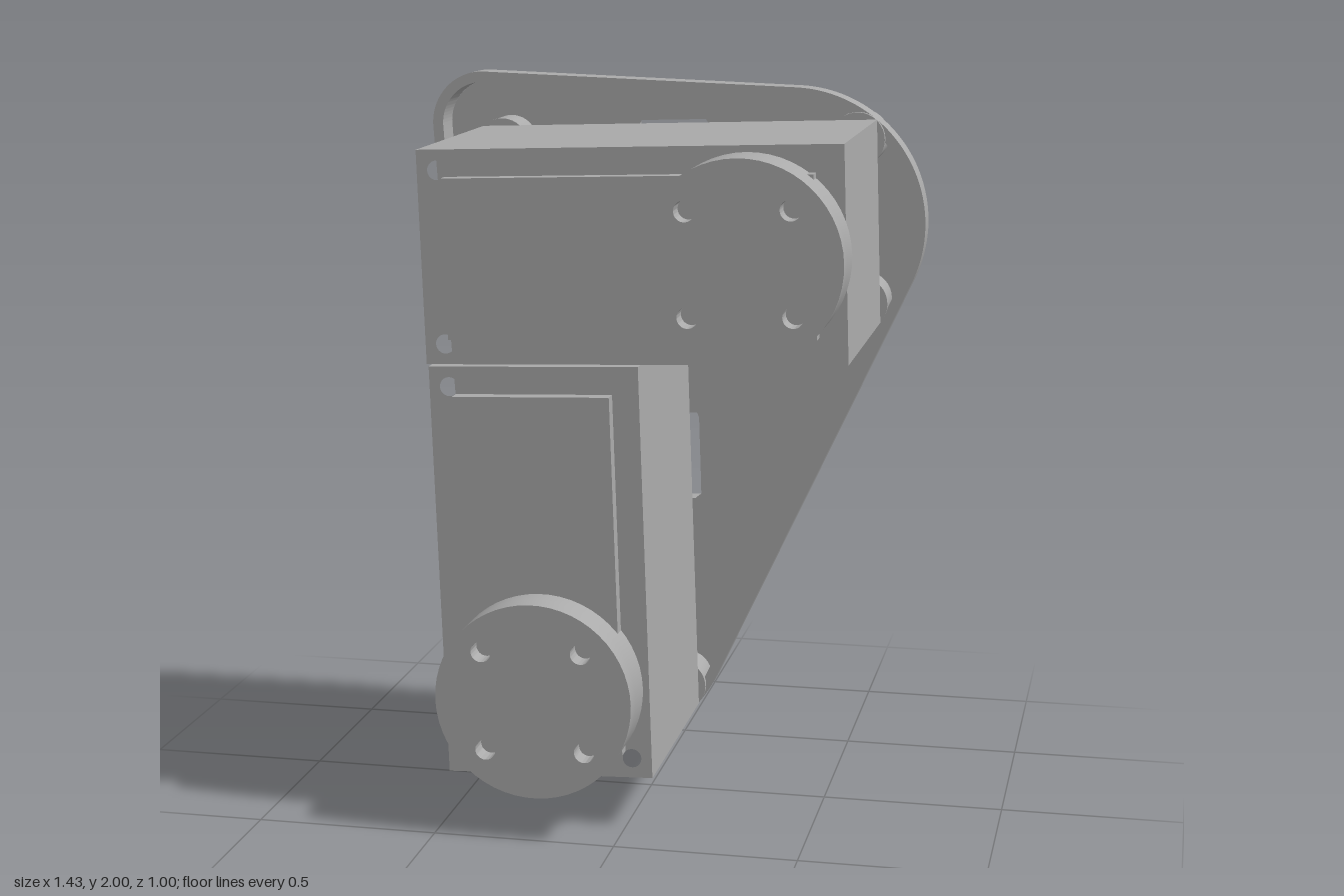
import * as THREE from 'three';
import { toCreasedNormals } from 'three/addons/utils/BufferGeometryUtils.js';

const grey = new THREE.MeshStandardMaterial({ color: 0xaaaaaa });
grey.name = 'grey';

const TILT = THREE.MathUtils.degToRad(2);
const BACK = -0.5, FRONT = -0.345, FLOOR = -0.44, FILLET = 0.075;
const SCREW = 0.026, BORE = 0.052;

// Two gearboxes, each long along its local x with the horn near the +x end
const SERVOS = [
  { x: 0.015, y: 1.578, a: TILT },
  { x: -0.2325, y: 0.705, a: TILT - Math.PI / 2 },
];
const WINDOWS = [
  { x: -0.02, y: 1.582, w: 0.105, h: 0.282 },
  { x: -0.235, y: 0.865, w: 0.29, h: 0.13 },
];
const corners = (w, h) => [[-w, -h], [-w, h], [w, h], [w, -h]];
const place = (s, [u, v], a = s.a) => [
  s.x + u * Math.cos(a) - v * Math.sin(a), s.y + u * Math.sin(a) + v * Math.cos(a)];
const SCREWS = SERVOS.flatMap((s) => corners(0.515, 0.2325).map((c) => place(s, c)));
const RECESSES = SERVOS.map((s) => place(s, [0.315, 0]));

function add(parent, name, geometry, crease = 0.5) {
  const mesh = new THREE.Mesh(toCreasedNormals(geometry, crease), grey);
  mesh.name = name;
  parent.add(mesh);
  return mesh;
}

// Outline of the back plate: a belt round three circles, as points with normals
function beltOutline() {
  const circles = [[0.33, 1.585, 0.385], [-0.57, 1.85, 0.15], [-0.23, 0.39, 0.39]];
  const tangent = (i) => {
    const [ax, ay, ar] = circles[i % 3], [bx, by, br] = circles[(i + 1) % 3];
    return Math.atan2(by - ay, bx - ax) - Math.acos((ar - br) / Math.hypot(bx - ax, by - ay));
  };
  const at = ([x, y, r], t) => ({ x: x + r * Math.cos(t), y: y + r * Math.sin(t), nx: Math.cos(t), ny: Math.sin(t) });
  const points = [];
  for (let i = 0; i < 3; i++) {
    const from = tangent(i + 2), to = tangent(i);
    const sweep = (to - from + 4 * Math.PI) % (2 * Math.PI);
    for (let k = 0; k <= 60; k++) points.push(at(circles[i], from + (sweep * k) / 60));
    const p = at(circles[i], to), q = at(circles[(i + 1) % 3], to);
    for (let k = 1; k < 80; k++) {
      points.push({ ...p, x: p.x + ((q.x - p.x) * k) / 80, y: p.y + ((q.y - p.y) * k) / 80 });
    }
  }
  return points;
}
const OUTLINE = beltOutline();
const insetAt = (x, y) => OUTLINE.reduce((m, p) => Math.min(m, (p.x - x) * p.nx + (p.y - y) * p.ny), 9);
const ring = (inset, z) => OUTLINE.map((p) => [p.x - p.nx * inset, p.y - p.ny * inset, z]);
const backZ = (x, y) => {
  const t = Math.max(0, FILLET - insetAt(x, y));
  return BACK + FILLET - Math.sqrt(Math.max(0, FILLET ** 2 - t * t));
};

// Triangles joining closed rings of points
function loft(rings) {
  const tris = [];
  for (let i = 0; i + 1 < rings.length; i++) {
    const n = rings[i].length;
    for (let j = 0; j < n; j++) {
      const k = (j + 1) % n, a = rings[i], b = rings[i + 1];
      tris.push([a[j], b[j], a[k]], [a[k], b[j], b[k]]);
    }
  }
  return tris;
}

// Keep only the part of each triangle where f(x, y) >= 0
function clip(tris, f) {
  const out = [];
  for (const t of tris) {
    const d = t.map((p) => f(p[0], p[1]));
    const poly = [];
    for (let i = 0; i < 3; i++) {
      const j = (i + 1) % 3;
      if (d[i] >= 0) poly.push(t[i]);
      if ((d[i] >= 0) !== (d[j] >= 0)) {
        const s = d[i] / (d[i] - d[j]);
        poly.push(t[i].map((v, k) => v + (t[j][k] - v) * s));
      }
    }
    for (let i = 1; i + 1 < poly.length; i++) out.push([poly[0], poly[i], poly[i + 1]]);
  }
  return out;
}
const outsideCircle = ([cx, cy], r) => (x, y) => Math.hypot(x - cx, y - cy) - r;
const outsideWindow = (w) => (x, y) => {
  const [u, v] = place({ x: 0, y: 0 }, [x - w.x, y - w.y], -TILT);
  return Math.max(Math.abs(u) - w.w, Math.abs(v) - w.h);
};

// Flat face of the plate with all of its openings
function face(inset, z, facingBack, recessed) {
  let tris = [];
  const s = 0.02;
  for (let x = -0.74; x < 0.74; x += s) {
    for (let y = -0.02; y < 2.02; y += s) {
      const a = [x, y, z], b = [x + s, y, z], c = [x + s, y + s, z], d = [x, y + s, z];
      tris.push(...(facingBack ? [[a, c, b], [a, d, c]] : [[a, b, c], [a, c, d]]));
    }
  }
  tris = clip(tris, (x, y) => insetAt(x, y) - inset);
  for (const w of WINDOWS) tris = clip(tris, outsideWindow(w));
  for (const c of SCREWS) tris = clip(tris, outsideCircle(c, BORE));
  if (recessed) for (const c of RECESSES) tris = clip(tris, outsideCircle(c, 0.137));
  return tris;
}

function toGeometry(tris) {
  const g = new THREE.BufferGeometry();
  g.setAttribute('position', new THREE.Float32BufferAttribute(tris.flat(2), 3));
  return g;
}

function backPlate() {
  const group = new THREE.Group();
  group.name = 'backPlate';
  // rim and rounded edge, cut by the screw bores
  const rings = [ring(0.03, FLOOR), ring(0.03, FRONT), ring(0, FRONT)];
  for (let i = 0; i <= 10; i++) {
    const t = (i / 10) * Math.PI / 2;
    rings.push(ring(FILLET * (1 - Math.cos(t)), BACK + FILLET * (1 - Math.sin(t))));
  }
  let rim = loft(rings);
  for (const c of SCREWS) rim = clip(rim, outsideCircle(c, BORE));
  add(group, 'rim', toGeometry(rim));
  add(group, 'backFace', toGeometry(face(FILLET, BACK, true, true)));
  add(group, 'innerFloor', toGeometry(face(0.03, FLOOR, false, false)));
  // window walls
  for (const w of WINDOWS) {
    const loop = (z) => corners(w.w, w.h).map((c) => [...place(w, c, TILT), z]);
    add(group, 'windowWall', toGeometry(loft([loop(FLOOR), loop(BACK)])));
  }
  // shallow round recesses behind the horns
  for (const [x, y] of RECESSES) {
    const loop = (r, z) => Array.from({ length: 48 }, (_, i) => {
      const t = (-i / 48) * 2 * Math.PI;
      return [x + r * Math.cos(t), y + r * Math.sin(t), z];
    });
    add(group, 'recess', toGeometry(loft([loop(0.001, -0.47), loop(0.137, -0.47), loop(0.137, BACK)])));
  }
  // counterbored screw posts
  SCREWS.forEach(([x, y], n) => {
    const crowded = SCREWS.some(([a, b], m) => m !== n && Math.hypot(a - x, b - y) < 0.15);
    const r = crowded ? 0.062 : 0.076;
    const profile = [[r, FLOOR], [r, -0.33], [SCREW, -0.33], [SCREW, -0.365], [BORE, -0.365], [BORE, BACK]];
    const loops = profile.map(([q, z], k) => Array.from({ length: 32 }, (_, i) => {
      const t = (i / 32) * 2 * Math.PI, px = x + q * Math.cos(t), py = y + q * Math.sin(t);
      return [px, py, k === 5 ? backZ(px, py) : z];
    }));
    // reversed order because the profile runs forward along the outside
    add(group, 'screwPost', toGeometry(loft(loops).map(([a, b, c]) => [a, c, b])));
  });
  return group;
}

function extrude(shape, holes, r, z, depth) {
  for (const [x, y] of holes) shape.holes.push(new THREE.Path().absarc(x, y, r, 0, Math.PI * 2, true));
  return new THREE.ExtrudeGeometry(shape, { depth, bevelEnabled: false, curveSegments: 28 }).translate(0, 0, z);
}

function servo({ x, y, a }, name) {
  const group = new THREE.Group();
  group.name = name;
  group.position.set(x, y, 0);
  group.rotation.z = a;
  const body = new THREE.Shape(corners(0.57, 0.2875).map(([u, v]) => new THREE.Vector2(u, v)));
  add(group, 'body', extrude(body, corners(0.515, 0.2325), SCREW, -0.33, 0.675));
  // raised covers front and back
  for (const z of [0.364, -0.349]) add(group, 'cover', new THREE.BoxGeometry(0.99, 0.43, 0.042).translate(0, 0, z));
  // round horn with four blind holes
  const base = new THREE.CylinderGeometry(0.27, 0.27, 0.095, 56).rotateX(Math.PI / 2);
  add(group, 'hornBase', base.translate(0.315, 0, 0.3925));
  const disc = new THREE.Shape().absarc(0, 0, 0.27, 0, Math.PI * 2);
  const horn = add(group, 'horn', extrude(disc, corners(0.137, 0.137), 0.028, 0.44, 0.06));
  horn.position.x = 0.315;
  return group;
}

export function createModel() {
  const model = new THREE.Group();
  model.name = 'twinServoMount';
  model.add(backPlate(), servo(SERVOS[0], 'upperServo'), servo(SERVOS[1], 'lowerServo'));
  return model;
}
